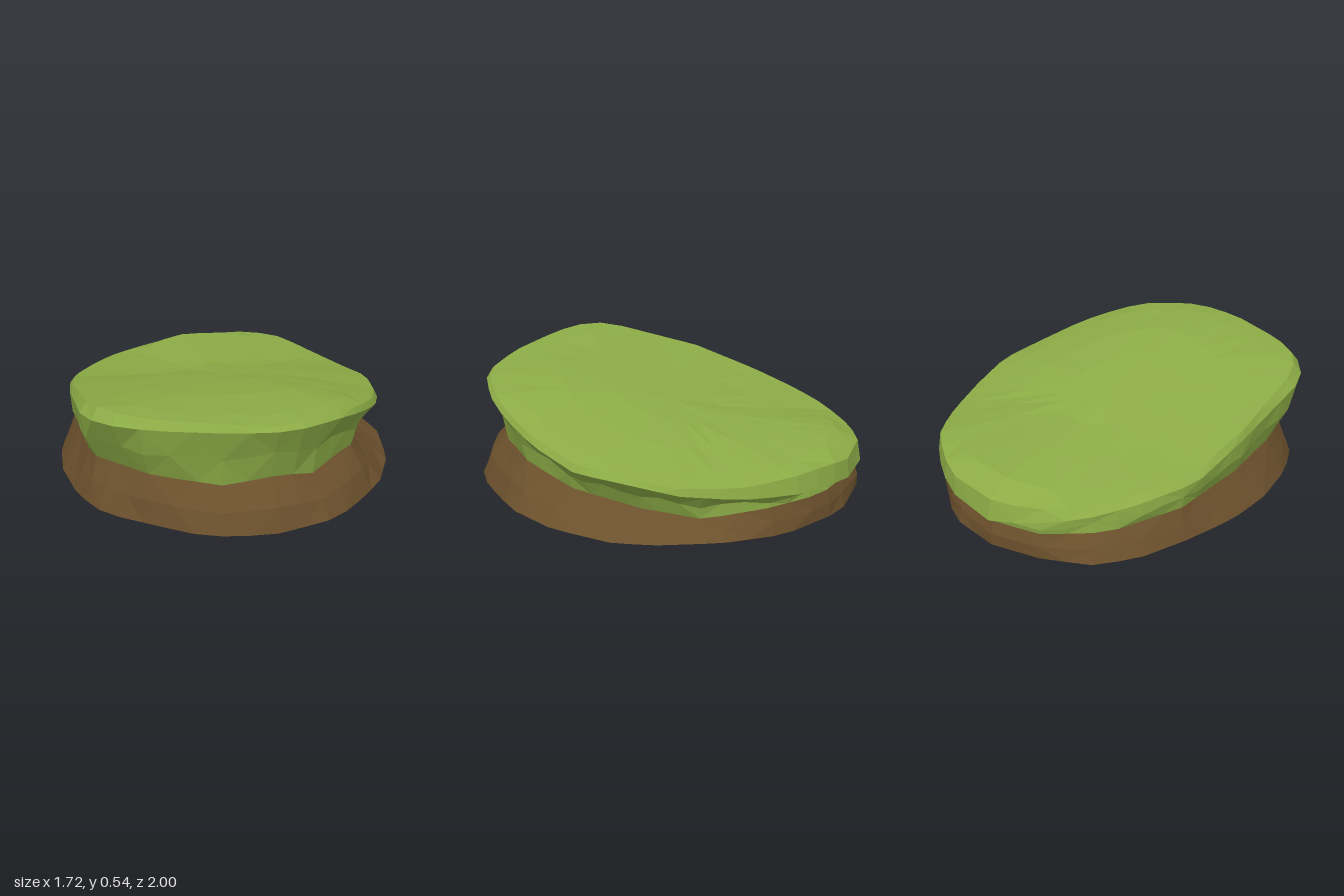
import * as THREE from 'three';

const SIDES = 48;

// Control outlines as [x, z, y], each running once round the mound
const BASE = [[0, -.99, .005], [.3, -.93, 0], [.6, -.68, .005], [.75, -.4, .01], [.84, -.1, .015], [.86, .1, .015],
  [.78, .42, .012], [.64, .66, .012], [.4, .88, .01], [.25, .96, .01], [0, 1, .005], [-.2, .985, .01], [-.35, .94, .015],
  [-.5, .82, .015], [-.74, .62, .015], [-.83, .4, .015], [-.862, .1, .015], [-.83, -.15, .012], [-.74, -.42, .01],
  [-.63, -.68, .01], [-.48, -.85, .01], [-.25, -.945, .008]];
const SEAM = [[0, -.97, .13], [.4, -.84, .14], [.6, -.6, .14], [.68, -.3, .09], [.67, 0, .11], [.62, .35, .155],
  [.5, .62, .22], [.42, .68, .225], [.22, .82, .195], [.05, .87, .235], [-.22, .85, .205], [-.52, .72, .235],
  [-.75, .4, .22], [-.75, 0, .19], [-.69, -.4, .165], [-.5, -.74, .14], [-.25, -.92, .13]];
const LIP = [[0, -1, .15], [.27, -.95, .17], [.42, -.87, .2], [.58, -.72, .21], [.7, -.48, .22], [.78, -.2, .25],
  [.812, .05, .305], [.76, .3, .31], [.64, .55, .38], [.48, .74, .44], [.36, .84, .475], [.15, .95, .495], [0, .97, .5],
  [-.2, .93, .5], [-.5, .82, .5], [-.66, .74, .5], [-.76, .63, .49], [-.81, .5, .48], [-.79, 0, .39], [-.74, -.35, .3],
  [-.58, -.63, .26], [-.45, -.78, .23], [-.3, -.9, .2], [-.12, -.97, .17]];
const RIM = [[0, -.98, .26], [.27, -.94, .27], [.41, -.86, .3], [.57, -.71, .3], [.69, -.48, .275], [.77, -.2, .285],
  [.795, .05, .325], [.74, .3, .35], [.62, .55, .415], [.47, .73, .47], [.35, .82, .5], [.15, .93, .515], [0, .95, .52],
  [-.2, .91, .535], [-.5, .79, .54], [-.64, .71, .545], [-.73, .6, .545], [-.77, .48, .525], [-.775, 0, .43],
  [-.71, -.35, .335], [-.55, -.61, .295], [-.43, -.75, .275], [-.28, -.88, .255], [-.12, -.95, .255]];

// Height of the grassy top along its middle, as [z, y]
const SLOPE = [[-1, .26], [-.85, .33], [-.5, .34], [-.25, .35], [0, .405], [.3, .475], [.6, .525], [.9, .525], [1, .505]];
function slopeHeight(z) {
  let i = 1;
  while (i < SLOPE.length - 1 && SLOPE[i][0] < z) i++;
  const [z0, y0] = SLOPE[i - 1], [z1, y1] = SLOPE[i];
  return y0 + (y1 - y0) * (z - z0) / (z1 - z0);
}

// Resample an outline along its straight edges at even angles, from the back turning towards +x
function ring(points) {
  const polar = points.map(([x, z, y]) => ({ a: (Math.atan2(x, -z) + 2 * Math.PI) % (2 * Math.PI), r: Math.hypot(x, z), y }));
  polar.push({ ...polar[0], a: 2 * Math.PI });
  return Array.from({ length: SIDES }, (_, i) => {
    const a = i / SIDES * 2 * Math.PI;
    const k = polar.findIndex(p => p.a > a);
    const p = polar[k - 1], q = polar[k];
    const u = p.r * Math.sin(a - p.a), v = q.r * Math.sin(q.a - a);
    const r = p.r * q.r * Math.sin(q.a - p.a) / (u + v);
    return new THREE.Vector3(Math.sin(a) * r, p.y + (q.y - p.y) * u / (u + v), -Math.cos(a) * r);
  });
}

// Join successive rings (bottom to top) with facets, optionally closed by a centre point
function loft(rings, centre) {
  const out = [];
  const tri = (...v) => v.forEach(p => out.push(p.x, p.y, p.z));
  for (let i = 0; i < SIDES; i++) {
    const j = (i + 1) % SIDES;
    for (let k = 0; k + 1 < rings.length; k++) {
      const lo = rings[k], hi = rings[k + 1];
      if ((i + k) % 2) { tri(lo[i], hi[i], hi[j]); tri(lo[i], hi[j], lo[j]); }
      else { tri(lo[i], hi[i], lo[j]); tri(lo[j], hi[i], hi[j]); }
    }
    const last = rings[rings.length - 1];
    if (centre) tri(last[i], centre, last[j]);
  }
  const g = new THREE.BufferGeometry();
  g.setAttribute('position', new THREE.Float32BufferAttribute(out, 3));
  g.computeVertexNormals();
  return g;
}

export function createModel() {
  const soil = new THREE.MeshStandardMaterial({ name: 'soilBrown', color: 0x6b502c, flatShading: true, side: THREE.DoubleSide });
  const grass = new THREE.MeshStandardMaterial({ name: 'grassGreen', color: 0x8cac46, flatShading: true, side: THREE.DoubleSide });
  const base = ring(BASE), seam = ring(SEAM), lip = ring(LIP), rim = ring(RIM);

  // Skirt bulging at the front and a little at the back
  const bulge = base.map((p, i) => {
    const v = p.clone().lerp(seam[i], .5);
    v.z *= v.z > 0 ? 1.03 : 1.01;
    return v;
  });
  // Uneven ring inside the undercut, deeper on the +x side
  const waist = seam.map((p, i) => {
    const v = p.clone().lerp(lip[i], .5);
    const s = .99 - .03 * v.x + .008 * Math.sin(i * 1.4);
    return new THREE.Vector3(v.x * s, v.y + .012 * Math.sin(i * 1.9), v.z * s);
  });
  // Rings easing from the rim to the middle slope
  const topRing = s => rim.map(p => new THREE.Vector3(
    p.x * s, slopeHeight(p.z * s) + (p.y - slopeHeight(p.z)) * s * s, p.z * s));

  const group = new THREE.Group();
  group.name = 'grassyMound';
  const add = (name, geometry, material) => {
    const mesh = new THREE.Mesh(geometry, material);
    mesh.name = name;
    group.add(mesh);
  };
  add('soilSkirt', loft([base, bulge, seam]), soil);
  add('grassOverhang', loft([seam, waist, lip, rim]), grass);
  add('grassTop', loft([rim, topRing(.88), topRing(.6), topRing(.3)], new THREE.Vector3(0, slopeHeight(0), 0)), grass);
  return group;
}
